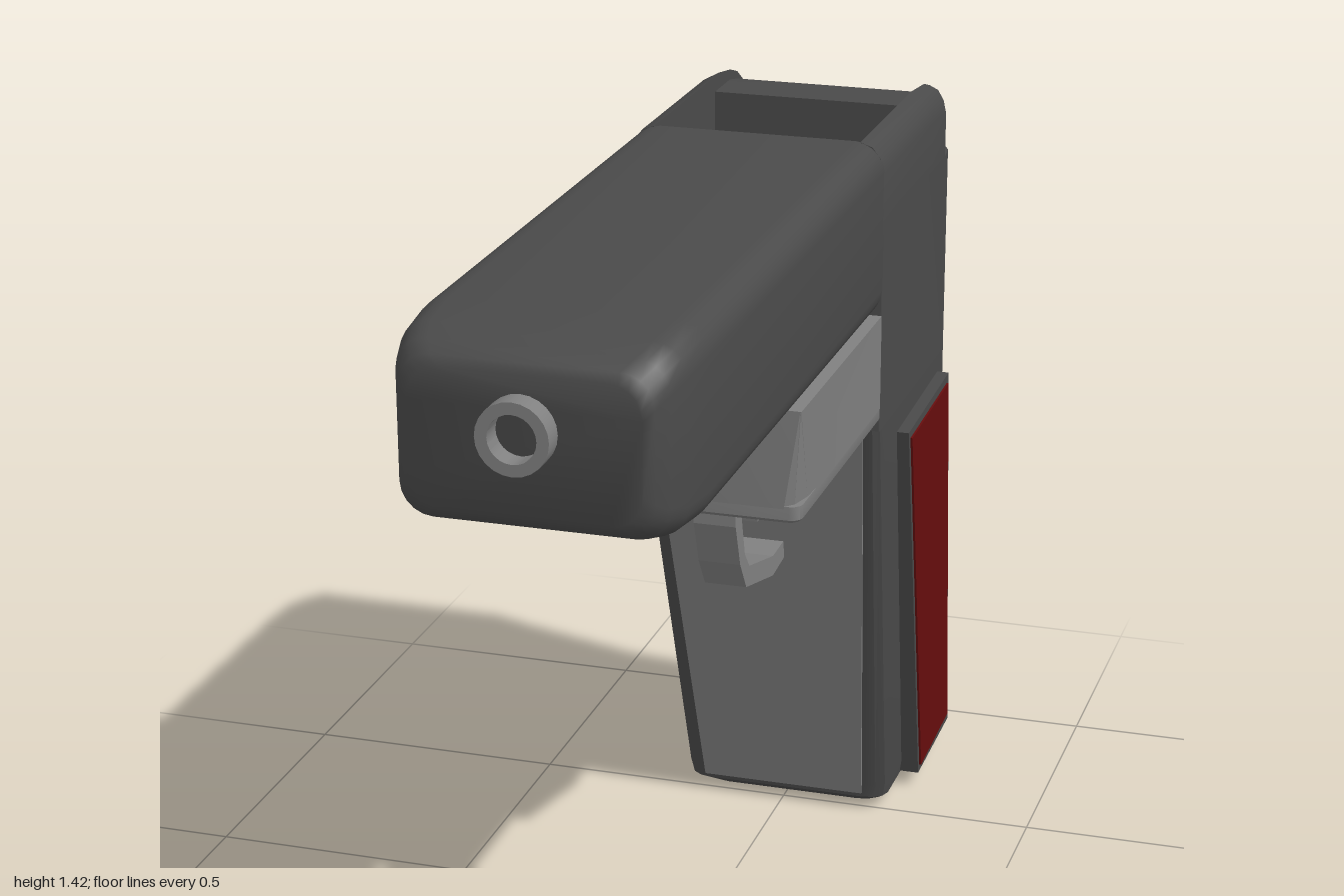
import * as THREE from 'three';
import { toCreasedNormals } from 'three/addons/utils/BufferGeometryUtils.js';

const mat = (name, color) => new THREE.MeshStandardMaterial({ name, color });

// Rounded rectangle outline; radii are [ru, rv] for the corners ++, -+, --, +-
function ring(u0, u1, v0, v1, radii, steps = 3) {
  const signs = [[1, 1], [-1, 1], [-1, -1], [1, -1]], pts = [];
  signs.forEach(([su, sv], i) => {
    const [ru, rv] = radii[i];
    const cu = su > 0 ? u1 - ru : u0 + ru, cv = sv > 0 ? v1 - rv : v0 + rv;
    for (let k = 0; k <= steps; k++) {
      const a = (i + k / steps) * Math.PI / 2;
      pts.push([cu + ru * Math.cos(a), cv + rv * Math.sin(a)]);
    }
  });
  return pts;
}

// Skin a list of equal-length cross-sections and cap both ends
function loft(sections, crease = 0.5) {
  const n = sections[0].length, tris = [];
  for (let s = 0; s < sections.length - 1; s++) {
    for (let i = 0; i < n; i++) {
      const j = (i + 1) % n, a = sections[s], b = sections[s + 1];
      tris.push([a[i], a[j], b[j]], [a[i], b[j], b[i]]);
    }
  }
  const first = sections[0], last = sections[sections.length - 1];
  for (let i = 1; i < n - 1; i++) {
    tris.push([first[0], first[i + 1], first[i]], [last[0], last[i], last[i + 1]]);
  }
  // Turn the faces outward
  let volume = 0;
  for (const [a, b, c] of tris) volume += a.dot(b.clone().cross(c));
  const pos = [];
  for (const [a, b, c] of tris) {
    for (const p of volume < 0 ? [a, c, b] : [a, b, c]) pos.push(p.x, p.y, p.z);
  }
  const g = new THREE.BufferGeometry();
  g.setAttribute('position', new THREE.Float32BufferAttribute(pos, 3));
  g.computeVertexNormals();
  return toCreasedNormals(g, crease);
}

const V = (x, y, z) => new THREE.Vector3(x, y, z);

// Horizontal section at height y with front and back corner sizes
const plan = (y, x0, x1, z0, z1, front, back) =>
  ring(x0, x1, z0, z1, [front, front, back, back]).map(([x, z]) => V(x, y, z));

// Upright section at depth z, shrunk by an inset
const slice = (z, d) =>
  ring(-0.245 + d, 0.235 - d, 1.1 + d, 1.43 - d, Array(4).fill([0.055, 0.055]), 5)
    .map(([x, y]) => V(x, y, z));

// Bar with a side outline of [z, y] points between two x positions
const sideBar = (outline, x0, x1) =>
  loft([x0, x1].map(x => outline.map(([z, y]) => V(x, y, z))), 0.3);

export function createModel() {
  const model = new THREE.Group();
  const dark = mat('charcoal', 0x4a4a4a);
  const grey = mat('steel grey', 0x808080);
  const red = mat('dark red', 0x660d0d);
  const add = (name, geometry, material) => {
    const mesh = new THREE.Mesh(geometry, material);
    mesh.name = name;
    model.add(mesh);
    return mesh;
  };

  // Long upper body with a softened nose
  const nose = [[0.96, 0.05], [0.95, 0.034], [0.92, 0.019], [0.87, 0.007], [0.78, 0], [-0.3, 0]];
  add('upperBody', loft(nose.map(([z, d]) => slice(z, d)), 0.7), dark);

  // Rear body below the open slot
  const tiny = [0.002, 0.002];
  add('rearBody', loft([0.88, 1.28].map(y =>
    plan(y, -0.245, 0.235, -0.88, -0.298, tiny, [0.045, 0.1])), 0.6), dark);

  // Rounded rails beside the slot
  const railSteps = [[-0.295, 1.43, 0], [-0.68, 1.43, 0], [-0.78, 1.42, 0],
    [-0.83, 1.405, 0.012], [-0.87, 1.38, 0.03], [-0.88, 1.36, 0.038]];
  for (const [side, outer, inner] of [['left', 0.235, 0.19], ['right', -0.245, -0.2]]) {
    const out = Math.sign(outer);
    add(side + 'Rail', loft(railSteps.map(([z, top, d]) => {
      const x = outer - out * d, w = x - inner;
      return [V(inner, 1.26, z), V(x, 1.26, z), V(x, top - 0.055, z),
        V(x - w * 0.15, top - 0.028, z), V(x - w * 0.5, top - 0.008, z), V(inner, top, z)];
    }), 0.6), dark);
  }

  // Block closing the back of the slot
  add('rearBlock', sideBar([[-0.68, 1.26], [-0.68, 1.4], [-0.78, 1.4], [-0.83, 1.39],
    [-0.87, 1.37], [-0.88, 1.35], [-0.88, 1.26]], -0.2, 0.19), dark);

  // Muzzle ring
  const muzzleOutline = [[0.04, -0.08], [0.06, -0.08], [0.06, 0.04], [0.04, 0.04], [0.04, -0.08]]
    .map(([r, h]) => new THREE.Vector2(r, h));
  const muzzle = add('muzzle',
    toCreasedNormals(new THREE.LatheGeometry(muzzleOutline, 24).toNonIndexed(), 0.5), grey);
  muzzle.rotation.x = Math.PI / 2;
  muzzle.position.set(-0.01, 1.29, 0.96);

  // Trigger housing with corners cut deeper toward the bottom
  add('triggerHousing', loft([
    plan(0.925, -0.245, 0.235, -0.3, 0.25, [0.03, 0.12], tiny),
    plan(1.105, -0.245, 0.235, -0.3, 0.25, tiny, tiny),
  ], 0.4), grey);
  add('housingLip', loft([
    plan(0.885, -0.205, 0.205, -0.3, 0.15, [0.02, 0.02], tiny),
    plan(0.893, -0.23, 0.225, -0.3, 0.23, [0.02, 0.02], tiny),
    plan(0.905, -0.243, 0.234, -0.3, 0.25, [0.02, 0.02], tiny),
    plan(0.93, -0.243, 0.234, -0.3, 0.25, [0.02, 0.02], tiny),
  ], 0.7), grey);

  // Slanted, tapering grip
  add('grip', loft([
    plan(0.89, -0.245, 0.235, -0.88, -0.3, [0.032, 0.035], [0.045, 0.1]),
    plan(0.06, -0.202, 0.215, -1.0, -0.485, [0.045, 0.035], [0.05, 0.14]),
    plan(0.03, -0.196, 0.21, -0.985, -0.49, [0.045, 0.035], [0.05, 0.14]),
    plan(0.005, -0.17, 0.19, -0.86, -0.53, [0.045, 0.035], [0.05, 0.1]),
  ], 0.5), dark);

  // Pale plate on the front of the grip
  const strap = (y, x0, x1, z) => [V(x0, y, z - 0.02), V(x1, y, z - 0.02),
    V(x1, y, z + 0.004), V(x0, y, z + 0.004)];
  add('frontStrap', loft([
    strap(0.885, -0.213, 0.203, -0.301), strap(0.04, -0.16, 0.165, -0.487),
  ], 0.3), grey);

  // Side panels: a dark slab carrying a thin red face
  const slabEdge = [[-0.44, 0.83], [-0.765, 0.845], [-0.875, 0.045], [-0.62, 0.035]];
  const faceEdge = [[-0.455, 0.815], [-0.75, 0.828], [-0.855, 0.065], [-0.628, 0.05]];
  for (const [side, sign, top, bottom] of [['left', 1, 0.257, 0.249], ['right', -1, 0.26, 0.213]]) {
    const surface = (edge, offset) => edge.map(([z, y]) =>
      V(sign * (bottom + (top - bottom) * (y - 0.04) / 0.8 + offset), y, z));
    add(side + 'PanelSlab', loft([surface(slabEdge, -0.06), surface(slabEdge, 0)], 0.3), dark);
    add(side + 'PanelFace', loft([surface(faceEdge, -0.002), surface(faceEdge, 0.004)], 0.3), red);
  }

  // Trigger guard and trigger
  const ribbon = (points) => {
    const shape = new THREE.Shape(points.map(([z, y]) => new THREE.Vector2(-z, y)));
    const g = new THREE.ExtrudeGeometry(shape, { depth: 0.08, bevelEnabled: false });
    return g.rotateY(Math.PI / 2).translate(-0.045, 0, 0);
  };
  add('triggerGuard', ribbon([[-0.035, 0.9], [-0.035, 0.765], [-0.065, 0.68], [-0.105, 0.62],
    [-0.285, 0.573], [-0.39, 0.583], [-0.39, 0.617], [-0.285, 0.613], [-0.125, 0.655],
    [-0.095, 0.69], [-0.075, 0.765], [-0.075, 0.9]]), grey);
  add('trigger', ribbon([[-0.26, 0.9], [-0.235, 0.83], [-0.205, 0.755], [-0.175, 0.74],
    [-0.178, 0.722], [-0.22, 0.73], [-0.25, 0.77], [-0.275, 0.84], [-0.3, 0.9]]), grey);

  return model;
}
